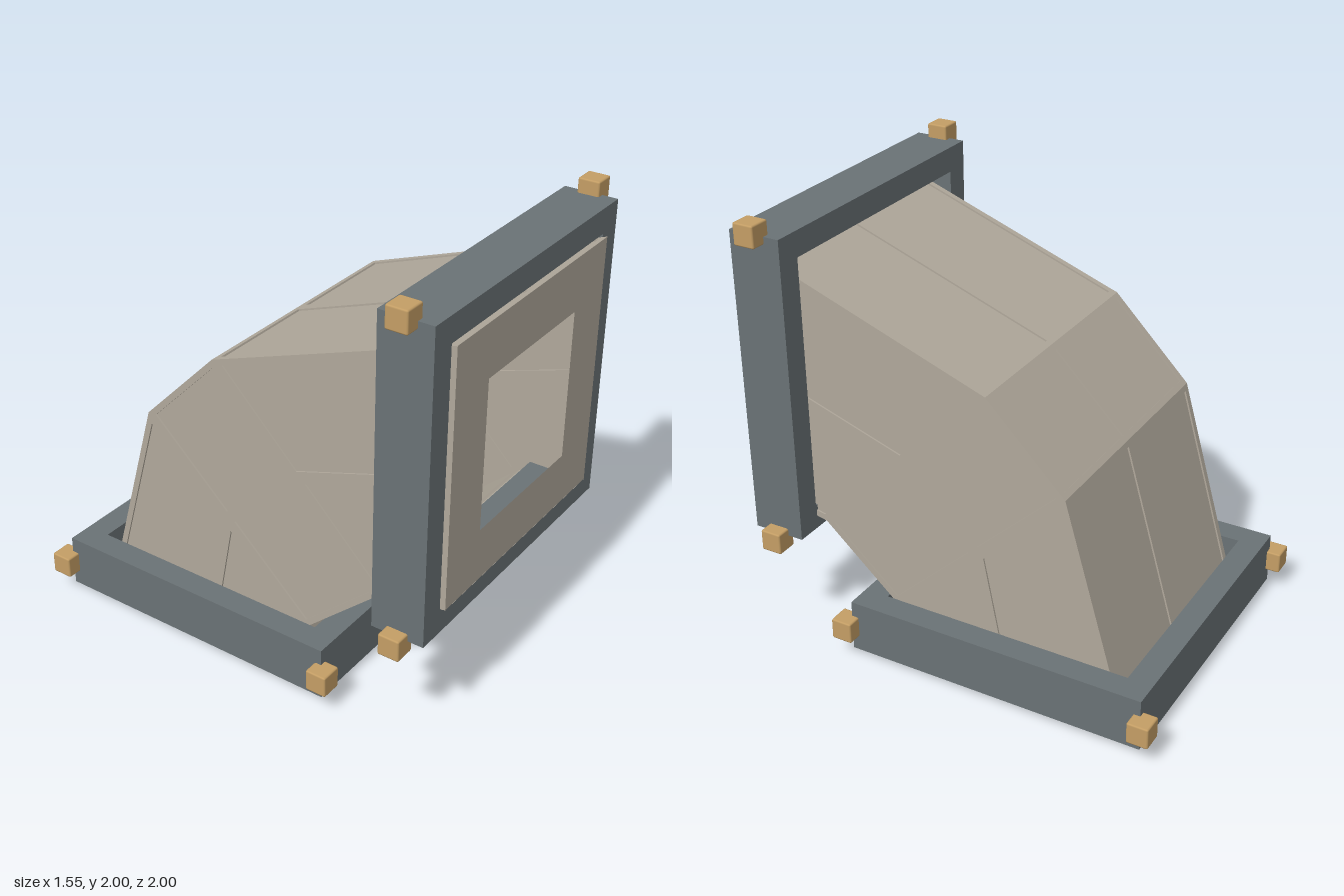
import * as THREE from 'three';
import { RoundedBoxGeometry } from 'three/addons/geometries/RoundedBoxGeometry.js';

const V = (x, y, z) => new THREE.Vector3(x, y, z);
const HALF = 0.587, RIB = 0.028, RECESS = 0.008;

// Duct profile as [z, y] at each joint, from the front mouth to the bottom mouth
const OUTER = [[1, 1.815], [-0.145, 1.4], [-0.51, 1.03], [-0.805, 0]];
const INNER = [[1, 0.64], [0.68, 0.57], [0.32, 0.25], [0.365, 0]];
const MIDDLE = OUTER.map((o, i) => [(o[0] + INNER[i][0]) / 2, (o[1] + INNER[i][1]) / 2]);

// One wall cell: a flat rim around a slightly recessed panel
function addCell(out, corners) {
  const n = corners[1].clone().sub(corners[0]).cross(corners[3].clone().sub(corners[0])).normalize();
  const inset = corners.map((p, i) => {
    const e1 = corners[(i + 1) % 4].clone().sub(p).normalize();
    const e2 = corners[(i + 3) % 4].clone().sub(p).normalize();
    const sin = e1.clone().cross(e2).length();
    return p.clone().addScaledVector(e1.add(e2), RIB / sin);
  });
  const deep = inset.map((p) => p.clone().addScaledVector(n, -RECESS));
  const quad = (a, b, c, d) => [a, b, c, a, c, d].forEach((p) => out.push(p.x, p.y, p.z));
  for (let i = 0; i < 4; i++) {
    const j = (i + 1) % 4;
    quad(corners[i], corners[j], inset[j], inset[i]);
    quad(inset[i], inset[j], deep[j], deep[i]);
  }
  quad(...deep);
}

function cellGeometry(cells) {
  const out = [];
  cells.forEach((c) => addCell(out, c));
  const g = new THREE.BufferGeometry();
  g.setAttribute('position', new THREE.Float32BufferAttribute(out, 3));
  g.computeVertexNormals();
  return g;
}

// Cells spanning the width along the outer or inner bend
function bendCells(path, flip) {
  const cells = [];
  for (let i = 0; i < 3; i++) {
    for (const [x0, x1] of [[-HALF, 0], [0, HALF]]) {
      const [[z0, y0], [z1, y1]] = [path[i], path[i + 1]];
      const c = [V(x0, y0, z0), V(x1, y0, z0), V(x1, y1, z1), V(x0, y1, z1)];
      cells.push(flip ? c.reverse() : c);
    }
  }
  return cells;
}

// Cells of one flat side wall
function sideCells(side) {
  const cells = [];
  for (let i = 0; i < 3; i++) {
    for (const [a, b] of [[OUTER, MIDDLE], [MIDDLE, INNER]]) {
      const c = [a[i], b[i], b[i + 1], a[i + 1]].map(([z, y]) => V(side * HALF, y, z));
      cells.push(side < 0 ? c.reverse() : c);
    }
  }
  return cells;
}

function rect(C, w, h) {
  const s = new C();
  s.moveTo(-w, -h);
  s.lineTo(w, -h);
  s.lineTo(w, h);
  s.lineTo(-w, h);
  s.closePath();
  return s;
}

function holedRect(w, h, hw, hh) {
  const s = rect(THREE.Shape, w, h);
  s.holes.push(rect(THREE.Path, hw, hh));
  return s;
}

export function createModel() {
  const model = new THREE.Group();
  const ductMat = new THREE.MeshStandardMaterial({ color: 0xb0a89b, side: THREE.DoubleSide });
  ductMat.name = 'warm grey duct';
  const frameMat = new THREE.MeshStandardMaterial({ color: 0x6a7275 });
  frameMat.name = 'slate frame';
  const blockMat = new THREE.MeshStandardMaterial({ color: 0xc49e65 });
  blockMat.name = 'tan block';

  const add = (parent, name, geometry, material) => {
    const m = new THREE.Mesh(geometry, material);
    m.name = name;
    parent.add(m);
    return m;
  };

  // Bent duct with ribbed walls
  const duct = new THREE.Group();
  duct.name = 'duct';
  model.add(duct);
  add(duct, 'outerBend', cellGeometry(bendCells(OUTER, false)), ductMat);
  add(duct, 'innerBend', cellGeometry(bendCells(INNER, true)), ductMat);
  add(duct, 'leftWall', cellGeometry(sideCells(1)), ductMat);
  add(duct, 'rightWall', cellGeometry(sideCells(-1)), ductMat);

  // Mouth plates with square openings
  const mouth = new THREE.ShapeGeometry(holedRect(HALF, 0.5865, 0.343, 0.343));
  add(duct, 'frontMouth', mouth, ductMat).position.set(0, 1.2275, 1);
  const bottom = add(duct, 'bottomMouth', mouth, ductMat);
  bottom.rotation.x = Math.PI / 2;
  bottom.position.set(0, 0, -0.22);

  // Flange: square frame with a block at each corner, built facing +z
  function flange(name) {
    const g = new THREE.Group();
    g.name = name;
    const frame = new THREE.ExtrudeGeometry(holedRect(0.707, 0.707, 0.591, 0.591),
      { depth: 0.245, bevelEnabled: false });
    frame.translate(0, 0, -0.1225);
    add(g, 'flangeFrame', frame, frameMat);
    for (const sx of [-1, 1]) {
      for (const sy of [-1, 1]) {
        add(g, 'cornerBlock', new RoundedBoxGeometry(0.1, 0.1, 0.1, 1, 0.008), blockMat)
          .position.set(sx * 0.723, sy * 0.723, 0);
      }
    }
    model.add(g);
    return g;
  }
  flange('frontFlange').position.set(0, 1.2275, 0.855);
  const base = flange('bottomFlange');
  base.rotation.x = Math.PI / 2;
  base.position.set(0, 0.15, -0.222);

  return model;
}
